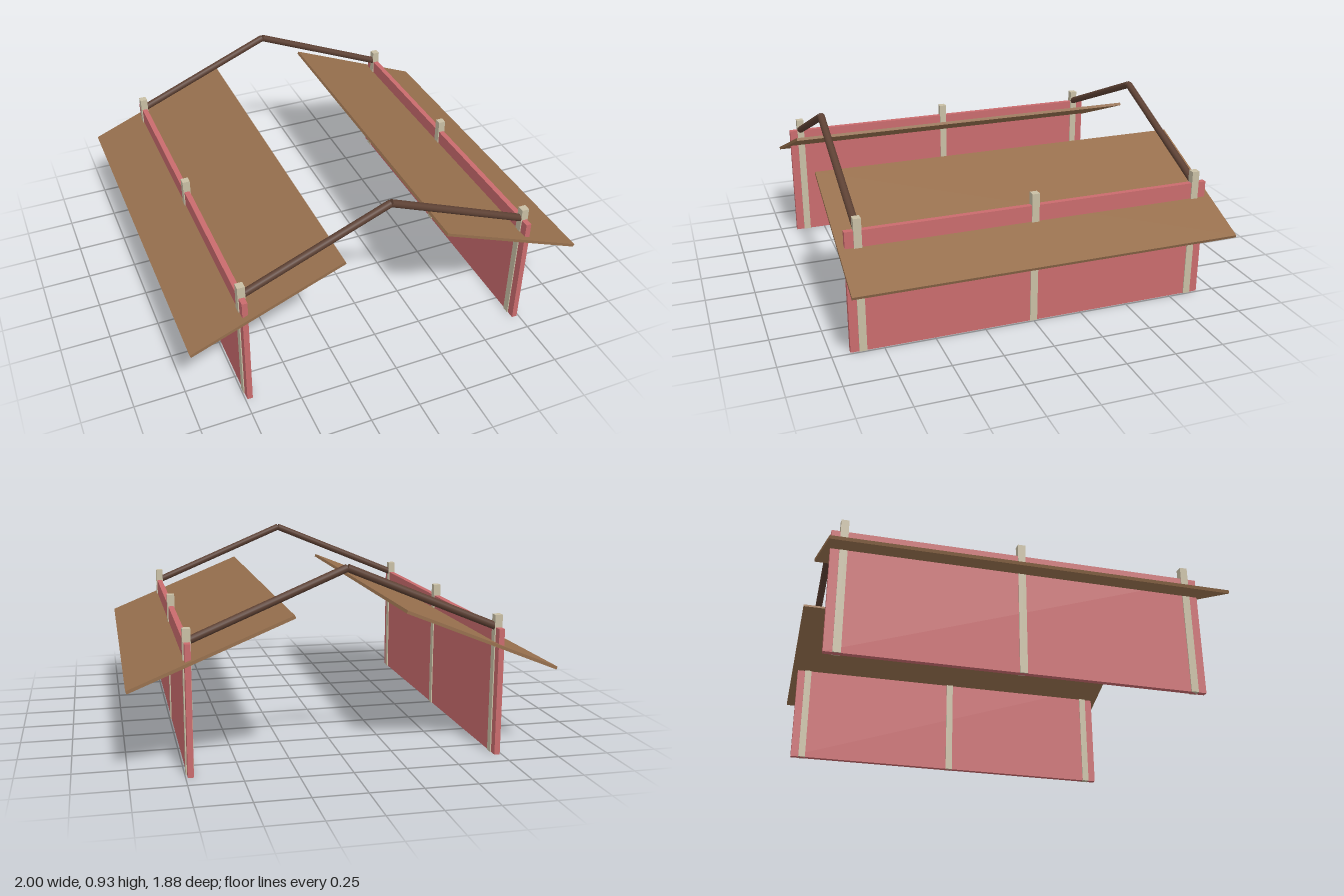
import * as THREE from 'three';

const mat = (name, color) => {
  const m = new THREE.MeshStandardMaterial({ color });
  m.name = name;
  return m;
};

export function createModel() {
  const wallPaint = mat('wall red', 0xc96b6d);
  const postWood = mat('post pale wood', 0xc8bea4);
  const roofWood = mat('roof brown', 0x966f4d);
  const beamWood = mat('rafter dark brown', 0x5c4033);

  const model = new THREE.Group();
  model.name = 'openShelter';

  const add = (parent, name, geometry, material, x, y, z) => {
    const mesh = new THREE.Mesh(geometry, material);
    mesh.name = name;
    mesh.position.set(x, y, z);
    parent.add(mesh);
    return mesh;
  };

  const wallX = 0.727, wallH = 0.61, postH = 0.67, endZ = 0.85;
  const pitch = THREE.MathUtils.degToRad(22);

  const wallGeo = new THREE.BoxGeometry(0.027, wallH, 1.82);
  const postGeo = new THREE.BoxGeometry(0.037, postH, 0.037);
  const roofGeo = new THREE.BoxGeometry(0.8, 0.015, 1.88);

  // Rafter runs from the post to the ridge
  const eave = new THREE.Vector2(wallX, 0.61);
  const ridge = new THREE.Vector2(0, 0.912);
  const run = ridge.clone().sub(eave);
  const rafterGeo = new THREE.CylinderGeometry(0.0185, 0.0185, run.length(), 16);
  const rafterTilt = run.angle() - Math.PI / 2;

  for (const side of [-1, 1]) {
    const half = new THREE.Group();
    half.name = side > 0 ? 'leftSide' : 'rightSide';
    model.add(half);

    add(half, 'wall', wallGeo, wallPaint, side * wallX, wallH / 2, 0);

    // Three posts embedded in each wall
    for (const z of [-endZ, 0, endZ]) add(half, 'post', postGeo, postWood, side * wallX, postH / 2, z);

    // Sloping roof panel passing through the wall
    add(half, 'roofPanel', roofGeo, roofWood, side * 0.6265, 0.567, 0).rotation.z = -side * pitch;

    // Gable rafters front and back
    for (const z of [-endZ, endZ]) {
      const rafter = add(half, 'rafter', rafterGeo, beamWood, side * wallX / 2, (eave.y + ridge.y) / 2, z);
      rafter.rotation.z = side * rafterTilt;
    }
  }
  return model;
}
